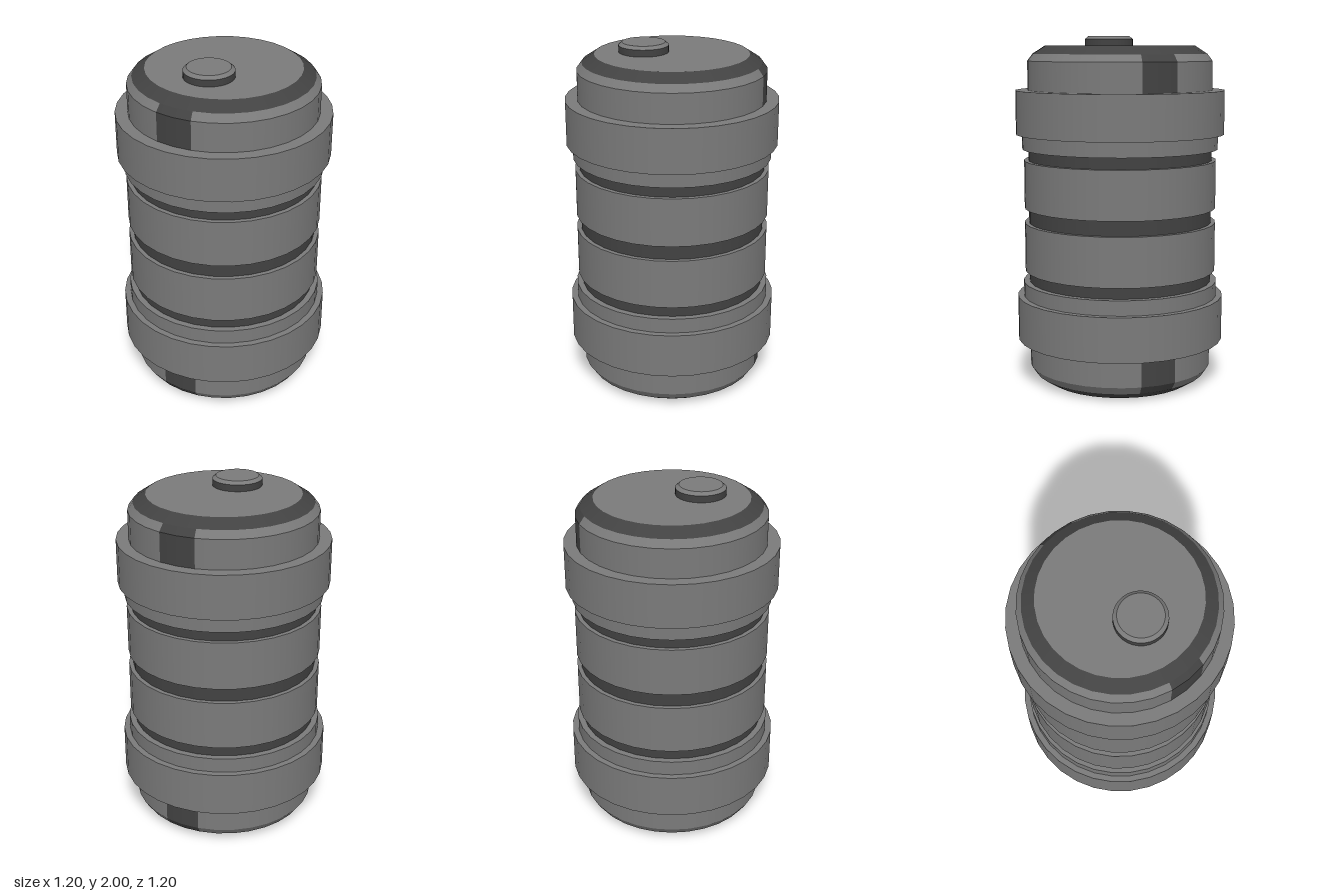
import * as THREE from 'three';
import { mergeGeometries } from 'three/addons/utils/BufferGeometryUtils.js';

const SIDES = 32;
const STEP = (Math.PI * 2) / SIDES;

const shell = new THREE.MeshStandardMaterial({ color: 0x7a7a7a });
const dark = new THREE.MeshStandardMaterial({ color: 0x424242 });

// Turned surface: smooth around the axis, sharp at every profile corner.
// The profile runs from bottom to top as [radius, height].
function turned(name, material, profile, first = 0, count = SIDES) {
  const bands = [];
  for (let i = 0; i < profile.length - 1; i++) {
    const pair = [profile[i], profile[i + 1]].map(([r, y]) => new THREE.Vector2(r, y));
    bands.push(new THREE.LatheGeometry(pair, count, first * STEP, count * STEP));
  }
  const mesh = new THREE.Mesh(mergeGeometries(bands), material);
  mesh.name = name;
  return mesh;
}

// Raised hoop: outer wall plus its two flat edges
function hoop(name, y0, y1, radius, inner = 0.53) {
  return turned(name, shell, [[inner, y0], [radius, y0], [radius, y1], [inner, y1]]);
}

export function createModel() {
  const group = new THREE.Group();
  group.name = 'barrel';

  // End faces and their dark outer bevels
  group.add(turned('bottomFace', shell, [[0, 0], [0.43, 0]]));
  group.add(turned('bottomBevel', dark, [[0.43, 0], [0.5, 0.045]]));
  group.add(turned('topBevel', dark, [[0.5, 1.9], [0.43, 1.945]]));
  group.add(turned('topFace', shell, [[0.43, 1.945], [0, 1.945]]));

  // End walls, each split by a dark patch at the front and back
  const ends = {
    bottom: [[0.5, 0.045], [0.53, 0.09], [0.53, 0.25]],
    top: [[0.53, 1.695], [0.53, 1.86], [0.5, 1.9]],
  };
  for (const [end, profile] of Object.entries(ends)) {
    for (const [side, start] of [['Front', 0], ['Back', SIDES / 2]]) {
      group.add(turned(`${end}${side}Patch`, dark, profile, start - 1, 2));
      group.add(turned(`${end}${side}Wall`, shell, profile, start + 1, SIDES / 2 - 2));
    }
  }

  // Wide end hoops, each with a narrow step on the inner side
  group.add(hoop('lowerHoop', 0.25, 0.505, 0.6));
  group.add(hoop('lowerStep', 0.505, 0.59, 0.565));
  group.add(hoop('upperStep', 1.36, 1.445, 0.565));
  group.add(hoop('upperHoop', 1.445, 1.695, 0.6));

  // Middle bands
  group.add(hoop('lowerBand', 0.655, 0.935, 0.555));
  group.add(hoop('upperBand', 1.02, 1.295, 0.555));

  // Dark grooves between the bands
  for (const [y0, y1] of [[0.59, 0.655], [0.935, 1.02], [1.295, 1.36]]) {
    group.add(turned('groove', dark, [[0.53, y0], [0.53, y1]]));
  }

  // Filler cap set toward the front
  const cap = new THREE.Group();
  cap.name = 'fillerCap';
  cap.position.set(0, 1.945, 0.16);
  cap.add(turned('capSide', dark, [[0.14, 0], [0.14, 0.038]]));
  cap.add(turned('capTop', shell, [[0.14, 0.038], [0.12, 0.055], [0, 0.055]]));
  group.add(cap);

  return group;
}
